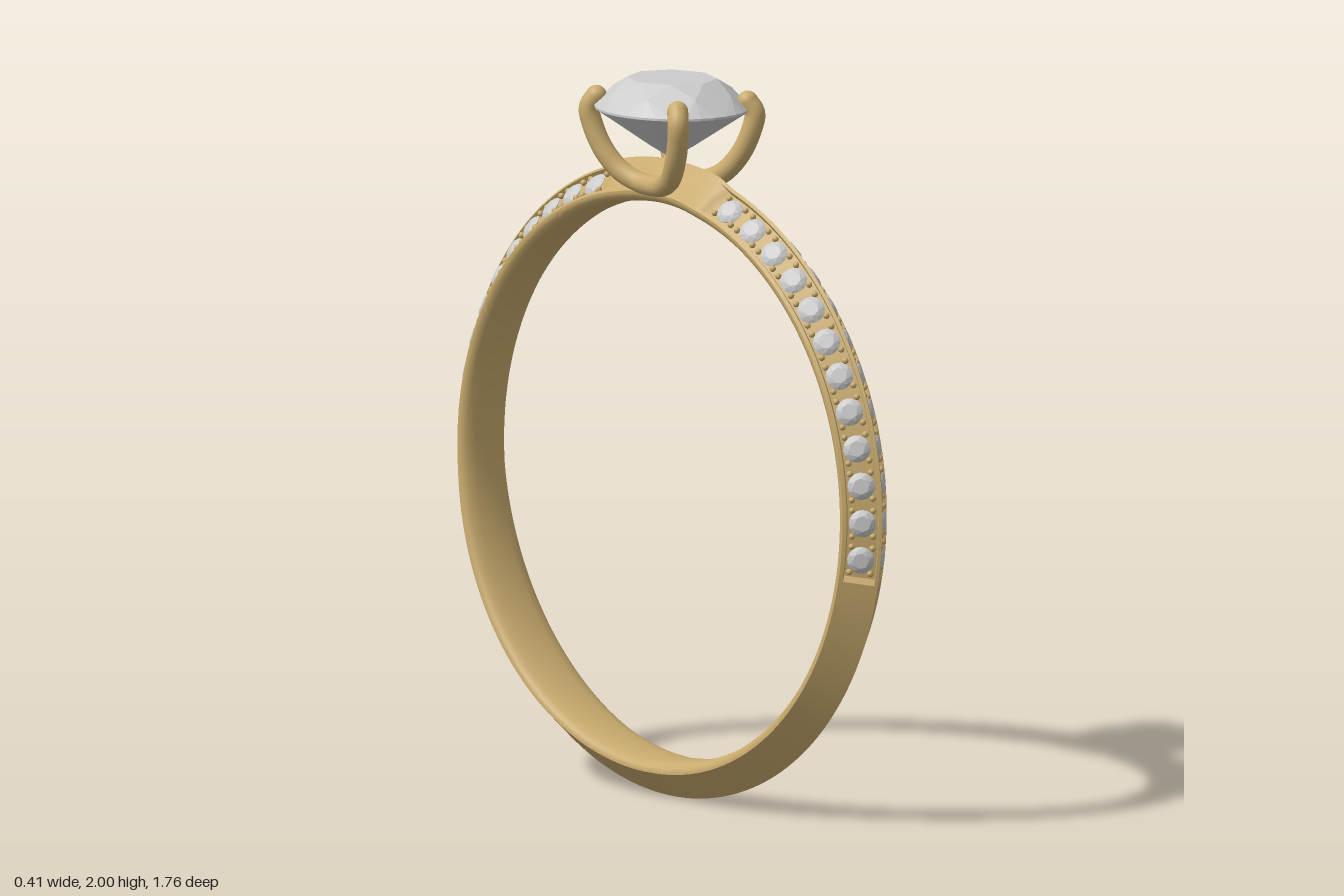
import * as THREE from 'three';
import { toCreasedNormals } from 'three/addons/utils/BufferGeometryUtils.js';
import { ConvexGeometry } from 'three/addons/geometries/ConvexGeometry.js';

const gold = new THREE.MeshStandardMaterial({ color: 0xc9ab6e });
const stone = new THREE.MeshStandardMaterial({ color: 0xcccccc, flatShading: true });
const CY = 0.88; // height of the ring's centre
const rad = THREE.MathUtils.degToRad;
const step = THREE.MathUtils.smoothstep;

function mesh(name, geometry, material) {
  const m = new THREE.Mesh(geometry, material);
  m.name = name;
  return m;
}

// Brilliant cut of girdle radius 1: table, crown, girdle, pavilion
function brilliant(crown, depth, girdleSides) {
  const pts = [new THREE.Vector3(0, -depth, 0)];
  const ringOf = (n, r, y, offset = 0) => {
    for (let i = 0; i < n; i++) {
      const a = (i / n) * Math.PI * 2 + offset;
      pts.push(new THREE.Vector3(r * Math.cos(a), y, r * Math.sin(a)));
    }
  };
  ringOf(8, 0.58, crown);
  ringOf(8, 0.82, crown * 0.58, Math.PI / 8);
  ringOf(girdleSides, 1, 0.015);
  ringOf(girdleSides, 1, -0.015);
  ringOf(8, 0.3, -depth * 0.725, Math.PI / 8);
  return new ConvexGeometry(pts);
}

// Half of the band's section as [x, radius]; recess sinks the stone channel
function bandSection(deg) {
  const e = deg <= 90 ? deg : 180 - deg;
  const recess = 0.014 * step(e, -12, -10.8) * (1 - step(e, 74.2, 75.4));
  const bridge = step(e, 72, 78);
  const swell = deg > 185 && deg < 275 ? 0.014 * Math.sin(Math.PI * (deg - 185) / 90) : 0;
  const w = 0.08 + swell - 0.008 * step(e, 76, 84);
  const ridge = 0.88 + 0.012 * bridge;
  const half = [[0, 0.773], [w * 0.5, 0.775], [w * 0.8, 0.781], [w * 0.95, 0.79], [w, 0.8]];
  for (const [t, d] of [[0, 0], [0.1, 0], [0.12, 1], [0.5, 1], [0.89, 1], [0.91, 0], [1, 0]]) {
    half.push([w * (1 - t) - 0.68 * d * recess, 0.806 + (ridge - 0.806) * t - 0.73 * d * recess]);
  }
  const left = half.map(([x, r]) => [-x, r]);
  return [...left, ...half.slice(1, -1).reverse()];
}

// Band lofted around the finger hole
function bandGeometry() {
  const N = 360, pos = [], idx = [];
  let M = 0;
  for (let i = 0; i < N; i++) {
    const deg = -90 + (i * 360) / N, a = rad(deg);
    const section = bandSection(deg);
    M = section.length;
    for (const [x, r] of section) pos.push(x, CY + r * Math.sin(a), r * Math.cos(a));
  }
  for (let i = 0; i < N; i++) {
    for (let j = 0; j < M; j++) {
      const k = (j + 1) % M, n = (i + 1) % N;
      idx.push(i * M + j, i * M + k, n * M + j, i * M + k, n * M + k, n * M + j);
    }
  }
  const g = new THREE.BufferGeometry();
  g.setAttribute('position', new THREE.Float32BufferAttribute(pos, 3));
  g.setIndex(idx);
  return toCreasedNormals(g, 0.6);
}

// Small stones with four beads each, along both slopes of both shoulders
function paveStones() {
  const group = new THREE.Group();
  group.name = 'shoulderStones';
  const gemGeo = brilliant(0.3, 0.45, 16);
  const beadGeo = new THREE.SphereGeometry(0.009, 10, 8);
  for (const s of [-1, 1]) {
    for (const back of [false, true]) {
      for (let i = 0; i < 12; i++) {
        const deg = -7.5 + i * 7.07;
        const a = rad(back ? 180 - deg : deg);
        const c = Math.cos(a), n = Math.sin(a);
        const normal = new THREE.Vector3(s * 0.679, 0.734 * n, 0.734 * c).normalize();
        const along = new THREE.Vector3(0, c, -n);
        const across = new THREE.Vector3().crossVectors(along, normal);
        const seat = new THREE.Group();
        seat.name = 'stoneSeat';
        seat.quaternion.setFromRotationMatrix(new THREE.Matrix4().makeBasis(along, normal, across));
        seat.position.set(s * 0.04, CY + 0.843 * n, 0.843 * c).addScaledVector(normal, -0.008);
        const gem = mesh('smallStone', gemGeo, stone);
        gem.scale.setScalar(0.038);
        seat.add(gem);
        for (const u of [-1, 1]) {
          for (const v of [-1, 1]) {
            const bead = mesh('bead', beadGeo, gold);
            bead.position.set(u * 0.036, 0, v * 0.029);
            seat.add(bead);
          }
        }
        group.add(seat);
      }
    }
  }
  return group;
}

// U-shaped wire on each side, whose ends are the claws
function prongs() {
  const group = new THREE.Group();
  group.name = 'prongs';
  const half = [
    [0.127, 1.942, 0.17], [0.139, 1.91, 0.186], [0.133, 1.86, 0.178],
    [0.119, 1.795, 0.15], [0.098, 1.74, 0.105], [0.08, 1.713, 0.05],
  ];
  const capGeo = new THREE.SphereGeometry(0.029, 20, 14);
  for (const s of [-1, 1]) {
    const pts = [...half, [0.076, 1.708, 0], ...half.map(([x, y, z]) => [x, y, -z]).reverse()]
      .map(([x, y, z]) => new THREE.Vector3(s * x, y, z));
    group.add(mesh('prongPair', new THREE.TubeGeometry(new THREE.CatmullRomCurve3(pts), 80, 0.029, 18), gold));
    for (const end of [pts[0], pts[pts.length - 1]]) {
      const cap = mesh('clawTip', capGeo, gold);
      cap.position.copy(end);
      group.add(cap);
    }
  }
  return group;
}

export function createModel() {
  const ring = new THREE.Group();
  ring.name = 'ring';
  ring.add(mesh('band', bandGeometry(), gold), paveStones(), prongs());

  // Slightly oval centre stone
  const centre = mesh('centreStone', brilliant(0.4, 0.7, 32), stone);
  centre.scale.set(0.203, 0.205, 0.226);
  centre.position.y = 1.918;
  ring.add(centre);
  return ring;
}
